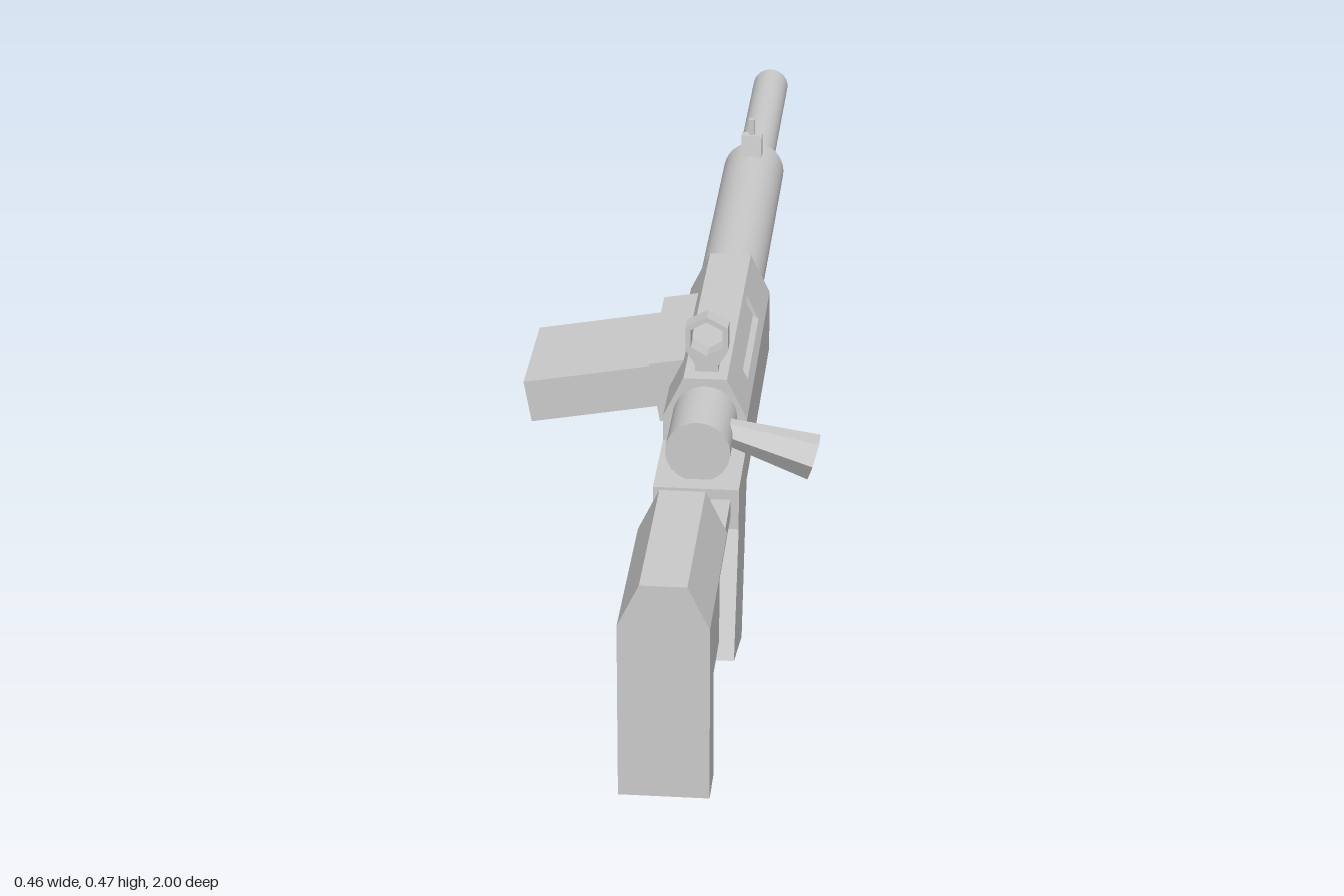
import * as THREE from 'three';

const CX = 0.056;      // centre line of the body
const HALF = 0.062;    // half width of the body
const AXIS_Y = 0.321;  // height of the barrel axis

export function createModel() {
  const root = new THREE.Group();
  const grey = new THREE.MeshStandardMaterial({ color: 0xcccccc });
  const add = (name, geometry, parent = root) => {
    const mesh = new THREE.Mesh(geometry, grey);
    mesh.name = name;
    parent.add(mesh);
    return mesh;
  };
  const toShape = (pts) => new THREE.Shape(pts.map(([a, b]) => new THREE.Vector2(a, b)));
  const solid = (shape, depth) => new THREE.ExtrudeGeometry(shape, { depth, bevelEnabled: false });

  // Side profile given as [z, y], extruded across x about the centre line
  const fromSide = (name, pts, width) =>
    add(name, solid(toShape(pts.map(([z, y]) => [-z, y])), width)
      .translate(0, 0, -width / 2).rotateY(Math.PI / 2).translate(CX, 0, 0));
  // Cross-section given as [x from centre, y], extruded from z0 to z1
  const alongZ = (name, pts, z0, z1) =>
    add(name, solid(toShape(pts), z1 - z0).translate(CX, 0, z0));
  // Round tube lying along z
  const tube = (name, radius, z0, z1) =>
    add(name, new THREE.CylinderGeometry(radius, radius, z1 - z0, 32)
      .rotateX(Math.PI / 2).translate(CX, AXIS_Y, (z0 + z1) / 2));

  // Receiver with chamfered top; the middle length has a shallow side port
  const roofLeft = [[0.032, 0.38], [-0.032, 0.38], [-HALF, 0.318]];
  const section = [[-HALF, 0.22], [HALF, 0.22], [HALF, 0.318], ...roofLeft];
  const notched = [[-HALF, 0.22], [HALF, 0.22], [HALF, 0.318], [0.0547, 0.333],
    [0.0457, 0.3374], [0.0278, 0.3744], [0.0368, 0.37], ...roofLeft];
  alongZ('receiverFront', section, -0.105, 0.032);
  alongZ('receiverPort', notched, 0.032, 0.252);
  alongZ('receiverRear', section, 0.252, 0.357);

  // Barrel, jacket and bolt
  tube('barrel', 0.03, -1, -0.58);
  tube('barrelJacket', 0.05, -0.6, -0.1);
  tube('bolt', 0.047, 0.34, 0.48);

  // Flared six-sided bolt handle
  const handle = add('boltHandle', new THREE.CylinderGeometry(0.034, 0.016, 0.16, 6).toNonIndexed());
  handle.geometry.computeVertexNormals();
  handle.geometry.rotateZ(-Math.PI / 2);
  handle.rotation.z = -0.28;
  handle.position.set(0.143, 0.311, 0.415);

  // Rear tang and grip in one piece
  fromSide('grip', [[0.34, 0.278], [0.51, 0.278], [0.51, 0.215], [0.585, 0.04],
    [0.44, 0], [0.36, 0.222], [0.34, 0.222]], HALF * 2);

  // Stock with cheek piece, and the two rods carrying it
  fromSide('stock', [[0.72, 0.318], [0.85, 0.318], [0.85, 0.22], [0.94, 0.22],
    [0.94, 0.06], [1, 0.06], [1, 0.318]], HALF * 2).visible = true;
  alongZ('cheekPiece', [[-HALF, 0.318], [HALF, 0.318], ...roofLeft], 0.72, 1);
  for (const side of [-1, 1]) {
    add('stockRod', new THREE.BoxGeometry(0.028, 0.028, 0.37)
      .translate(CX + side * 0.036, 0.248, 0.675));
  }

  // Open fore handle under the jacket
  fromSide('foreHandle', [[-0.01, 0.225], [-0.01, 0.098], [-0.34, 0.098], [-0.455, 0.212],
    [-0.455, 0.29], [-0.34, 0.29], [-0.34, 0.215], [-0.28, 0.155], [-0.07, 0.155],
    [-0.07, 0.225]], 0.06);

  // Tilted side magazine and its well
  const magazine = new THREE.Group();
  magazine.name = 'sideMagazine';
  magazine.position.set(-0.0285, 0.307, 0.134);
  magazine.rotation.z = 0.175;
  add('magazineWell', new THREE.BoxGeometry(0.065, 0.095, 0.245).translate(0.0325, 0, 0), magazine);
  add('magazine', new THREE.BoxGeometry(0.22, 0.066, 0.198).translate(-0.087, 0, 0), magazine);
  root.add(magazine);

  // Hexagonal ring sight
  const ring = toShape([[-0.017, 0.375], [0.017, 0.375], [0.017, 0.39], [0.031, 0.413],
    [0.031, 0.45], [0, 0.467], [-0.031, 0.45], [-0.031, 0.413], [-0.017, 0.39]]);
  const hole = [];
  for (let i = 0; i < 6; i++) {
    const a = Math.PI / 6 + i * Math.PI / 3;
    hole.push(new THREE.Vector2(Math.cos(a) * 0.027, 0.432 + Math.sin(a) * 0.027));
  }
  ring.holes.push(new THREE.Path(hole));
  add('rearSight', solid(ring, 0.028).translate(CX, 0, 0.303));

  // Front sight: tapered block with a thin post
  fromSide('frontSightBase', [[-0.535, 0.36], [-0.566, 0.36], [-0.56, 0.405], [-0.543, 0.405]], 0.034);
  add('frontSightPost', new THREE.BoxGeometry(0.009, 0.034, 0.01).translate(CX, 0.415, -0.552));

  return root;
}
